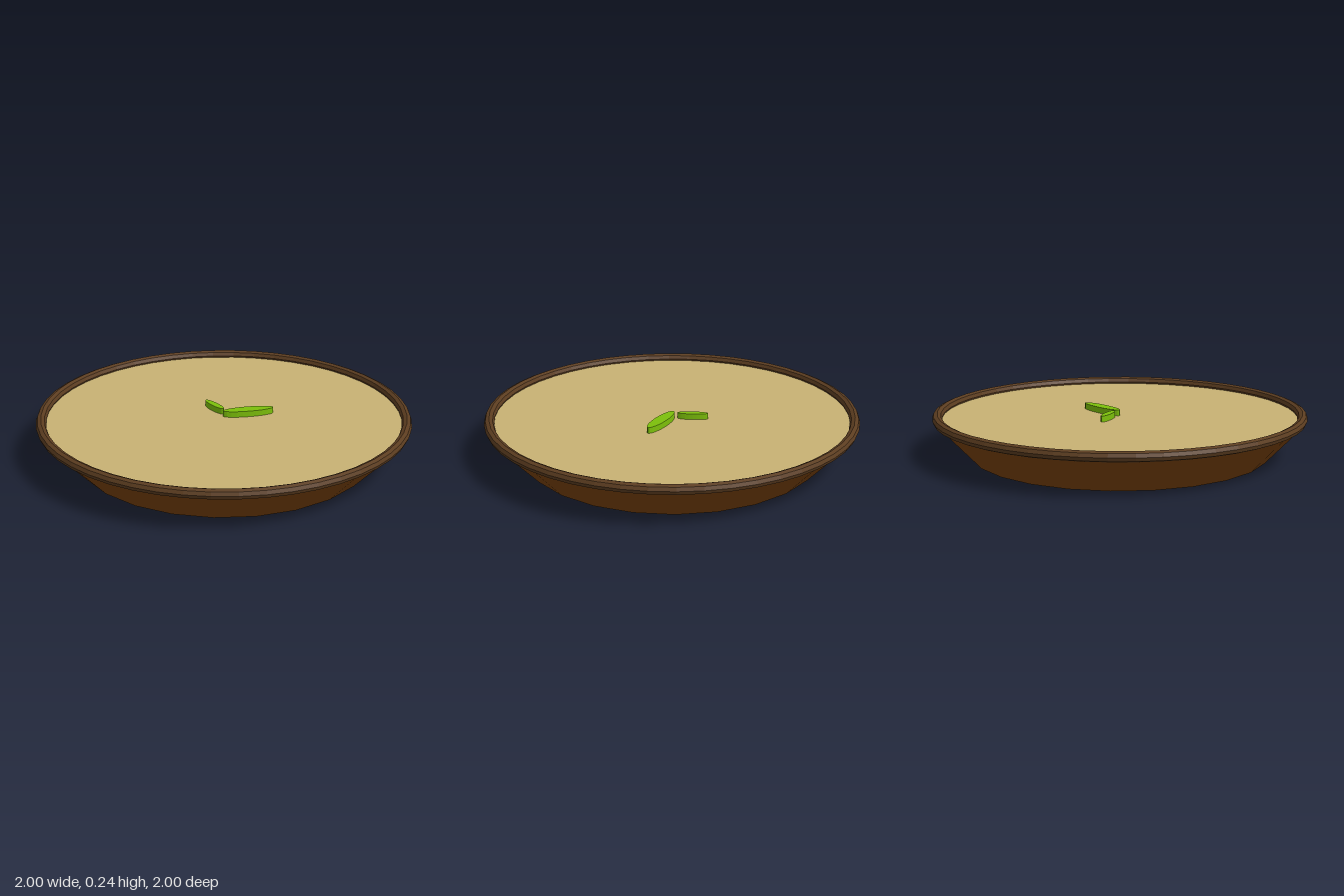
import * as THREE from 'three';

const mat = (name, color) => {
  const m = new THREE.MeshStandardMaterial({ color, flatShading: true });
  m.name = name;
  return m;
};

export function createModel() {
  const group = new THREE.Group();
  const clay = mat('brown clay', 0x7b430c);
  const darkClay = mat('dark brown clay', 0x5c3d20);
  const soupTan = mat('soup tan', 0xc8b273);
  const leafGreen = mat('leaf green', 0x7cbf0a);

  const add = (name, geometry, material, x, y, z) => {
    const mesh = new THREE.Mesh(geometry, material);
    mesh.name = name;
    mesh.position.set(x, y, z);
    group.add(mesh);
    return mesh;
  };

  // Sloping bowl wall and its flat underside
  const wall = new THREE.CylinderGeometry(0.985, 0.795, 0.2, 24, 1, true);
  add('bowlWall', wall, clay, 0, 0.1, 0);
  const base = new THREE.CircleGeometry(0.795, 24).rotateX(Math.PI / 2).rotateY(Math.PI / 2);
  add('bowlBase', base, darkClay, 0, 0, 0);

  // Rounded rim
  const rim = new THREE.TorusGeometry(0.973, 0.027, 8, 48).rotateX(Math.PI / 2);
  add('rim', rim, darkClay, 0, 0.214, 0);

  // Soup surface
  add('soup', new THREE.CircleGeometry(0.965, 48).rotateX(-Math.PI / 2), soupTan, 0, 0.204, 0);

  // Two slender leaves floating on the soup
  const addLeaf = (name, x, z, halfLength, halfWidth, turn) => {
    const leaf = new THREE.CylinderGeometry(1, 1, 0.034, 24).scale(halfLength, 1, halfWidth);
    add(name, leaf, leafGreen, x, 0.219, z).rotation.y = turn;
  };
  addLeaf('largeLeaf', 0.113, -0.074, 0.138, 0.034, 0.53);
  addLeaf('smallLeaf', -0.08, -0.081, 0.082, 0.02, -0.62);

  return group;
}
